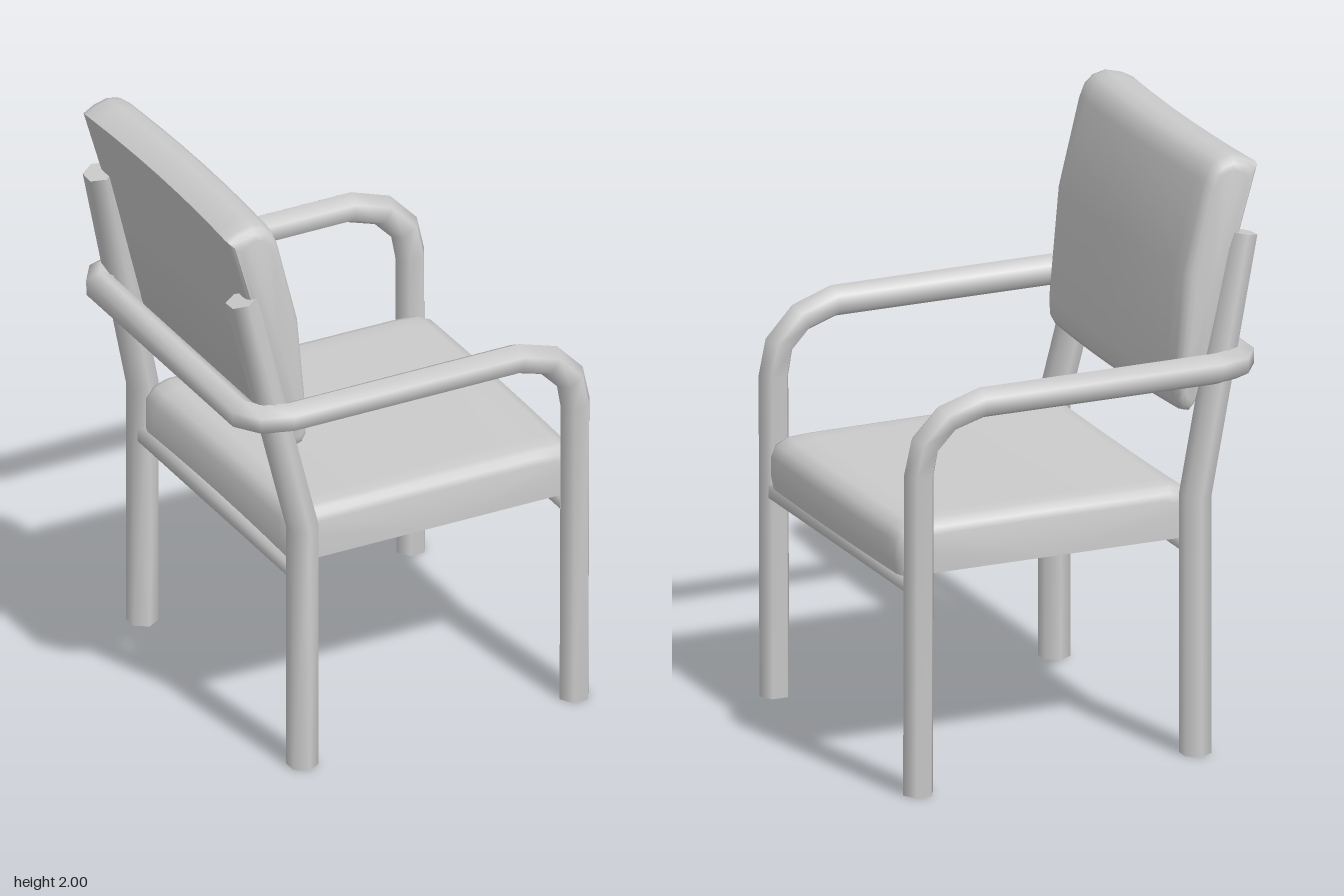
import * as THREE from 'three';
import { toCreasedNormals } from 'three/addons/utils/BufferGeometryUtils.js';
import { ParametricGeometry } from 'three/addons/geometries/ParametricGeometry.js';

const material = new THREE.MeshStandardMaterial({ color: 0xcccccc });

// Path with one tube ring at every given point
class Polyline extends THREE.Curve {
  constructor(points) {
    super();
    this.points = points;
  }
  index(t) {
    return Math.round(t * (this.points.length - 1));
  }
  getPointAt(t, target = new THREE.Vector3()) {
    return target.copy(this.points[this.index(t)]);
  }
  getTangentAt(t, target = new THREE.Vector3()) {
    const p = this.points, i = this.index(t), last = p.length - 1;
    const before = new THREE.Vector3(), after = new THREE.Vector3();
    if (i > 0) before.subVectors(p[i], p[i - 1]).normalize();
    if (i < last) after.subVectors(p[i + 1], p[i]).normalize();
    target.addVectors(before, after);
    // the doubled end points take the direction of the neighbouring segment
    if (i === 0) target.subVectors(p[2], p[1]);
    if (i === last) target.subVectors(p[last - 1], p[last - 2]);
    return target.normalize();
  }
}

// Six-sided tube; the doubled end rings are collapsed into caps
function tube(name, coords, radius) {
  const pts = coords.map((c) => new THREE.Vector3(...c));
  const first = pts[0], last = pts[pts.length - 1];
  const path = new Polyline([first, ...pts, last]);
  const sides = 6;
  const geo = new THREE.TubeGeometry(path, path.points.length - 1, radius, sides);
  const pos = geo.attributes.position;
  for (let j = 0; j <= sides; j++) {
    pos.setXYZ(j, first.x, first.y, first.z);
    pos.setXYZ(pos.count - 1 - j, last.x, last.y, last.z);
  }
  const mesh = new THREE.Mesh(toCreasedNormals(geo, 1.2), material);
  mesh.name = name;
  return mesh;
}

// Padded block: an x-y profile swept along z with rounded ends
function cushion(name, profile, { halfWidth, round, cy, hy, hx, axis, bend }) {
  const half = [0, 0.15, 0.3, 0.42].map((z) => [z, 0, 1]);
  for (let k = 0; k <= 3; k++) {
    const a = (k / 3) * Math.PI / 2;
    half.push([halfWidth - round + round * Math.sin(a), round * (1 - Math.cos(a)), 1]);
  }
  half.push([halfWidth, round, 0]);
  const stations = [
    ...half.slice(1).reverse().map(([z, inset, s]) => [-z, inset, s]),
    ...half,
  ];
  const n = profile.length, m = stations.length - 1;
  const geo = new ParametricGeometry((u, v, target) => {
    const [px, py] = profile[Math.round(u * n) % n];
    const [z, inset, s] = stations[Math.round(v * m)];
    const y = cy + (py - cy) * (1 - inset / hy) * s;
    const x = axis(y) + (px - axis(py)) * (1 - inset / hx) * s;
    target.set(x + bend * (1 - (z / halfWidth) ** 2), y, z);
  }, n, m);
  const mesh = new THREE.Mesh(toCreasedNormals(geo, 0.8), material);
  mesh.name = name;
  return mesh;
}

export function createModel() {
  const chair = new THREE.Group();
  chair.name = 'armchair';

  // Front legs, arms and the bar behind the back are one bent tube
  const side = [
    [0.593, 0, 0.561], [0.593, 1.09, 0.568], [0.573, 1.19, 0.57],
    [0.495, 1.272, 0.573], [0.375, 1.311, 0.578], [-0.46, 1.311, 0.578],
    [-0.545, 1.311, 0.553], [-0.587, 1.311, 0.49],
  ];
  const mirrored = side.map(([x, y, z]) => [x, y, -z]).reverse();
  chair.add(tube('armFrame', [...side, ...mirrored], 0.053));

  // Rear legs lean back above the seat and carry the backrest
  for (const s of [1, -1]) {
    chair.add(tube(s > 0 ? 'rearLegNear' : 'rearLegFar', [
      [-0.4, 0, s * 0.55], [-0.4, 0.88, s * 0.55], [-0.592, 1.735, s * 0.49],
    ], 0.053));
  }

  // Cross rails under the seat
  for (const [name, x] of [['frontRail', 0.593], ['rearRail', -0.4]]) {
    chair.add(tube(name, [[x, 0.705, -0.53], [x, 0.705, 0.53]], 0.04));
  }

  // Seat with a flat underside
  chair.add(cushion('seat', [
    [-0.42, 0.73], [0.63, 0.73], [0.638, 0.77], [0.638, 0.84], [0.62, 0.88],
    [0.58, 0.9], [0.5, 0.905], [0.1, 0.907], [-0.34, 0.905], [-0.39, 0.89], [-0.42, 0.85],
  ], {
    halfWidth: 0.522, round: 0.045, cy: 0.73, hy: 0.18, hx: 0.53,
    axis: () => 0.11, bend: 0.007,
  }));

  // Tilted backrest, bowed forward in the middle
  chair.add(cushion('backrest', [
    [-0.415, 1.165], [-0.4, 1.15], [-0.375, 1.158], [-0.36, 1.185], [-0.358, 1.25],
    [-0.39, 1.62], [-0.465, 1.92], [-0.485, 1.965], [-0.515, 1.99], [-0.56, 2],
    [-0.61, 1.987], [-0.65, 1.965], [-0.53, 1.56],
  ], {
    halfWidth: 0.52, round: 0.04, cy: 1.575, hy: 0.425, hx: 0.11,
    axis: (y) => -0.39 - 0.2 * (y - 1.15), bend: 0.02,
  }));

  return chair;
}
